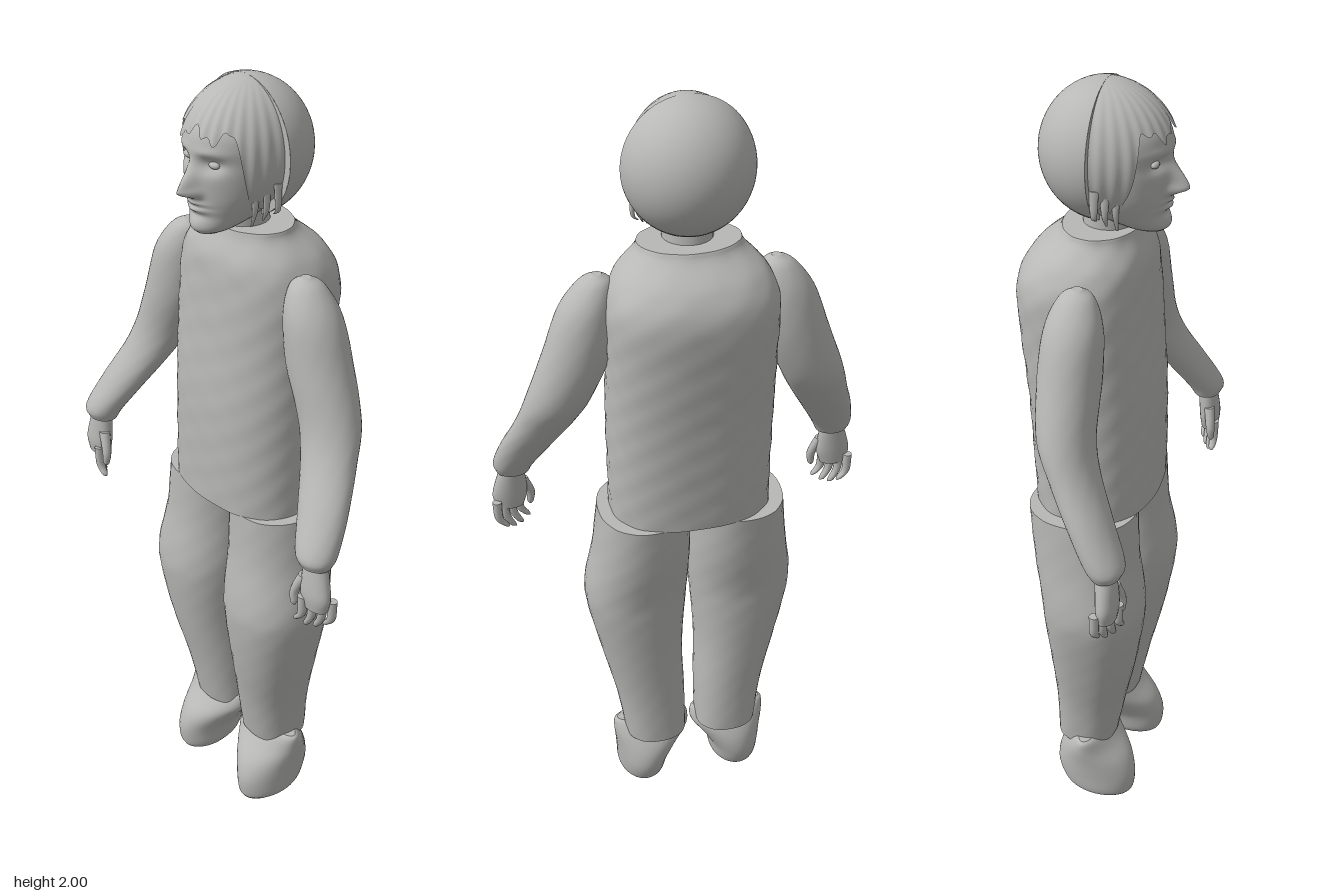
import * as THREE from 'three';

const grey = new THREE.MeshStandardMaterial({ color: 0xb8b8b6 });
grey.name = 'plain grey';
const greyThin = new THREE.MeshStandardMaterial({ color: 0xb8b8b6, side: THREE.DoubleSide });
greyThin.name = 'plain grey thin';

// Surface through horizontal superellipse sections [x, y, z, rx, rz, power], listed upwards.
function loft(sections, { n = 40, steps = 5, adjust = null } = {}) {
  const centres = new THREE.CatmullRomCurve3(sections.map(s => new THREE.Vector3(s[0], s[1], s[2])), false, 'catmullrom', 0.5);
  const radii = new THREE.CatmullRomCurve3(sections.map(s => new THREE.Vector3(s[3], s[4], s[5] ?? 2)), false, 'catmullrom', 0.5);
  const rows = (sections.length - 1) * steps;
  const pos = [], idx = [];
  const power = (v, e) => Math.sign(v) * Math.abs(v) ** (2 / e);
  for (let j = 0; j <= rows; j++) {
    const c = centres.getPoint(j / rows), r = radii.getPoint(j / rows);
    for (let i = 0; i < n; i++) {
      const a = i / n * Math.PI * 2;
      const p = new THREE.Vector3(c.x + r.x * power(Math.cos(a), r.z), c.y, c.z + r.y * power(Math.sin(a), r.z));
      if (adjust) adjust(p, c, a);
      pos.push(p.x, p.y, p.z);
    }
  }
  for (let j = 0; j < rows; j++) for (let i = 0; i < n; i++) {
    const a = j * n + i, b = j * n + (i + 1) % n;
    idx.push(a, a + n, b, b, a + n, b + n);
  }
  // End caps get their own corners so their rims stay sharp
  for (const row of [0, rows]) {
    const first = pos.length / 3, c = centres.getPoint(row / rows);
    for (let i = 0; i < n; i++) pos.push(...pos.slice((row * n + i) * 3, (row * n + i) * 3 + 3));
    pos.push(c.x, c.y, c.z);
    for (let i = 0; i < n; i++) {
      const a = first + i, b = first + (i + 1) % n;
      idx.push(first + n, ...(row ? [b, a] : [a, b]));
    }
  }
  const g = new THREE.BufferGeometry();
  g.setAttribute('position', new THREE.Float32BufferAttribute(pos, 3));
  g.setIndex(idx);
  g.computeVertexNormals();
  return g;
}

function add(parent, name, geometry, material = grey) {
  const m = new THREE.Mesh(geometry, material);
  m.name = name;
  parent.add(m);
  return m;
}

// Gentle cloth ripples, pushed out from the centre line
const cloth = amount => (p, c, a) => {
  const k = 1 + amount * (Math.sin(a * 7 + p.y * 31) * Math.sin(p.y * 47 + a * 3) + 0.6 * Math.sin(a * 13 - p.y * 60));
  p.x = c.x + (p.x - c.x) * k;
  p.z = c.z + (p.z - c.z) * k;
};

// Nose, eye sockets, brow, lips and chin, raised or sunk on the front of the head
const bump = (d, s) => Math.exp(-d * d / (2 * s * s));
function shapeFace(p) {
  if (p.z < 0.07) return;
  const x = Math.abs(p.x), y = p.y;
  p.z += 0.042 * bump(x, 0.012) * bump(y - 1.772, y > 1.772 ? 0.03 : 0.01);
  p.z += 0.012 * bump(x - 0.017, 0.008) * bump(y - 1.768, 0.008);
  p.z -= 0.017 * bump(x - 0.045, 0.02) * bump(y - 1.835, 0.012);
  p.z += 0.005 * bump(x - 0.045, 0.025) * bump(y - 1.862, 0.007);
  p.z += 0.009 * bump(x, 0.02) * (bump(y - 1.742, 0.004) + bump(y - 1.727, 0.005));
  p.z -= 0.004 * bump(x, 0.025) * bump(y - 1.735, 0.003);
  p.z -= 0.004 * bump(x, 0.025) * bump(y - 1.712, 0.006);
  p.z += 0.005 * bump(x, 0.022) * bump(y - 1.69, 0.012);
}

// Front hair: a shell from the crown down to a ragged hairline
function hairShell() {
  const cols = 120, rows = 24, pos = [], idx = [];
  for (let j = 0; j <= rows; j++) for (let i = 0; i <= cols; i++) {
    const phi = (i / cols * 2 - 1) * 1.8;
    const side = THREE.MathUtils.smoothstep(Math.abs(phi), 0.75, 1.1);
    const line = 1.9 - 0.17 * side + 0.012 * Math.sin(phi * 9 + 1) + 0.008 * Math.sin(phi * 23);
    const th = Math.acos((line - 1.84) / 0.16) * j / rows;
    const k = 1 + 0.012 * Math.sin(phi * 31) * Math.sin(th);
    pos.push(0.135 * k * Math.sin(th) * Math.sin(phi), 1.84 + 0.16 * Math.cos(th), 0.17 * k * Math.sin(th) * Math.cos(phi));
  }
  for (let j = 0; j < rows; j++) for (let i = 0; i < cols; i++) {
    const a = j * (cols + 1) + i, b = a + cols + 1;
    idx.push(a, b, a + 1, a + 1, b, b + 1);
  }
  const g = new THREE.BufferGeometry();
  g.setAttribute('position', new THREE.Float32BufferAttribute(pos, 3));
  g.setIndex(idx);
  g.computeVertexNormals();
  return g;
}

function addHead(group) {
  const head = new THREE.Group();
  head.name = 'head';
  group.add(head);
  add(head, 'face', loft([
    [0, 1.667, 0.11, 0.028, 0.035], [0, 1.68, 0.095, 0.05, 0.06], [0, 1.71, 0.06, 0.076, 0.093],
    [0, 1.76, 0.04, 0.1, 0.117], [0, 1.83, 0.03, 0.11, 0.13], [0, 1.9, 0.03, 0.108, 0.12],
    [0, 1.96, 0.02, 0.075, 0.08], [0, 1.99, 0.01, 0.025, 0.03],
  ], { n: 120, steps: 12, adjust: shapeFace }));
  add(head, 'frontHair', hairShell(), greyThin);
  // Back of the head: half an ellipsoid with a flat front
  const back = add(head, 'backHair', new THREE.SphereGeometry(1, 40, 32, Math.PI, Math.PI), greyThin);
  back.scale.set(0.153, 0.16, 0.155);
  back.rotation.y = 0;
  back.position.set(0, 1.84, 0.01);
  back.geometry.rotateY(back.geometry.attributes.position.getZ(33 + 16 * 41) > 0 ? Math.PI : 0);
  const rim = add(head, 'backHairRim', new THREE.CircleGeometry(1, 40));
  rim.scale.set(0.153, 0.16, 1);
  rim.position.set(0, 1.84, 0.01);
  for (const s of [-1, 1]) {
    const eye = add(head, 'eye', new THREE.SphereGeometry(0.014, 16, 12));
    eye.scale.set(1.1, 0.6, 0.7);
    eye.position.set(s * 0.045, 1.835, 0.133);
    // Loose strands beside the jaw
    for (let i = 0; i < 3; i++) {
      const x = s * (0.095 + i * 0.015), z = 0.06 - i * 0.02;
      add(head, 'hairStrand', loft([
        [x - s * 0.012, 1.685 + i * 0.015, z, 0.002, 0.003], [x, 1.73, z, 0.005, 0.008], [x, 1.79, z, 0.006, 0.012],
      ], { n: 8 }));
    }
  }
  add(head, 'neck', loft([[0, 1.64, 0.01, 0.06, 0.06], [0, 1.72, 0.02, 0.06, 0.06]], { n: 24 }));
}

function addArm(group, s) {
  const arm = new THREE.Group();
  arm.name = s > 0 ? 'leftArm' : 'rightArm';
  group.add(arm);
  add(arm, 'sleeve', loft([
    [s * 0.426, 0.998, 0.152, 0.042, 0.035], [s * 0.422, 1.03, 0.145, 0.053, 0.049], [s * 0.39, 1.11, 0.1, 0.065, 0.053],
    [s * 0.348, 1.2, 0.05, 0.073, 0.058], [s * 0.315, 1.28, 0.02, 0.08, 0.067], [s * 0.267, 1.4, 0.012, 0.083, 0.073],
    [s * 0.24, 1.51, 0.012, 0.069, 0.067], [s * 0.219, 1.575, 0.012, 0.042, 0.042], [s * 0.213, 1.597, 0.012, 0.012, 0.012],
  ], { adjust: cloth(0.004) }));
  add(arm, 'hand', loft([
    [s * 0.44, 0.885, 0.16, 0.036, 0.022], [s * 0.438, 0.92, 0.16, 0.045, 0.026],
    [s * 0.434, 0.96, 0.157, 0.04, 0.026], [s * 0.428, 1.01, 0.152, 0.029, 0.025],
  ], { n: 24 }));
  // Four curled fingers in a slanting row
  for (let i = 0; i < 4; i++) {
    const x = 0.475 - i * 0.02, z = 0.14 + i * 0.013, tip = 0.83 - 0.012 * Math.sin(i / 3 * Math.PI);
    add(arm, 'finger', loft([
      [s * (x - 0.024), tip, z, 0.004, 0.004], [s * (x - 0.017), tip + 0.008, z, 0.009, 0.009],
      [s * (x - 0.002), 0.86, z, 0.011, 0.011], [s * x, 0.91, z, 0.012, 0.012],
    ], { n: 12 }));
  }
  add(arm, 'thumb', loft([
    [s * 0.385, 0.868, 0.178, 0.004, 0.004], [s * 0.384, 0.878, 0.178, 0.009, 0.009],
    [s * 0.384, 0.91, 0.175, 0.012, 0.012], [s * 0.405, 0.96, 0.165, 0.016, 0.014],
  ], { n: 12 }));
}

function addLeg(group, s) {
  const leg = new THREE.Group();
  leg.name = s > 0 ? 'leftLeg' : 'rightLeg';
  group.add(leg);
  add(leg, 'trouserLeg', loft([
    [s * 0.1, 0.183, -0.008, 0.084, 0.08, 2.3], [s * 0.11, 0.32, 0.005, 0.094, 0.093, 2.2],
    [s * 0.129, 0.47, 0.018, 0.109, 0.112, 2.2], [s * 0.14, 0.62, 0.024, 0.13, 0.128, 2.2],
    [s * 0.139, 0.7, 0.02, 0.135, 0.13, 2.2], [s * 0.128, 0.82, 0.0, 0.125, 0.132, 2.2],
    [s * 0.121, 0.953, -0.01, 0.117, 0.136, 2.2],
  ], { adjust: cloth(0.005) }));
  // Drooping shoe, narrow at the toe
  add(leg, 'shoe', loft([
    [s * 0.132, 0, 0.045, 0.052, 0.08], [s * 0.135, 0.02, 0.035, 0.066, 0.098], [s * 0.133, 0.07, 0.026, 0.072, 0.109],
    [s * 0.122, 0.12, 0.018, 0.087, 0.1], [s * 0.11, 0.165, 0.008, 0.104, 0.072], [s * 0.11, 0.2, 0.008, 0.104, 0.045],
    [s * 0.11, 0.21, 0.008, 0.095, 0.03],
  ]));
}

export function createModel() {
  const group = new THREE.Group();
  group.name = 'figure';
  addHead(group);
  add(group, 'torso', loft([
    [0.002, 0.952, -0.003, 0.204, 0.15, 2.4], [0.002, 1.1, -0.007, 0.204, 0.154, 2.4], [0.002, 1.25, -0.013, 0.204, 0.157, 2.4],
    [0, 1.4, -0.025, 0.204, 0.158, 2.4], [0, 1.53, -0.033, 0.203, 0.156, 2.4], [0, 1.6, -0.022, 0.178, 0.138, 2.3],
    [0, 1.65, -0.004, 0.132, 0.1, 2.1], [0, 1.67, 0, 0.122, 0.09, 2],
  ], { n: 72, steps: 8, adjust: cloth(0.006) }));
  for (const s of [1, -1]) {
    addArm(group, s);
    addLeg(group, s);
  }
  return group;
}
